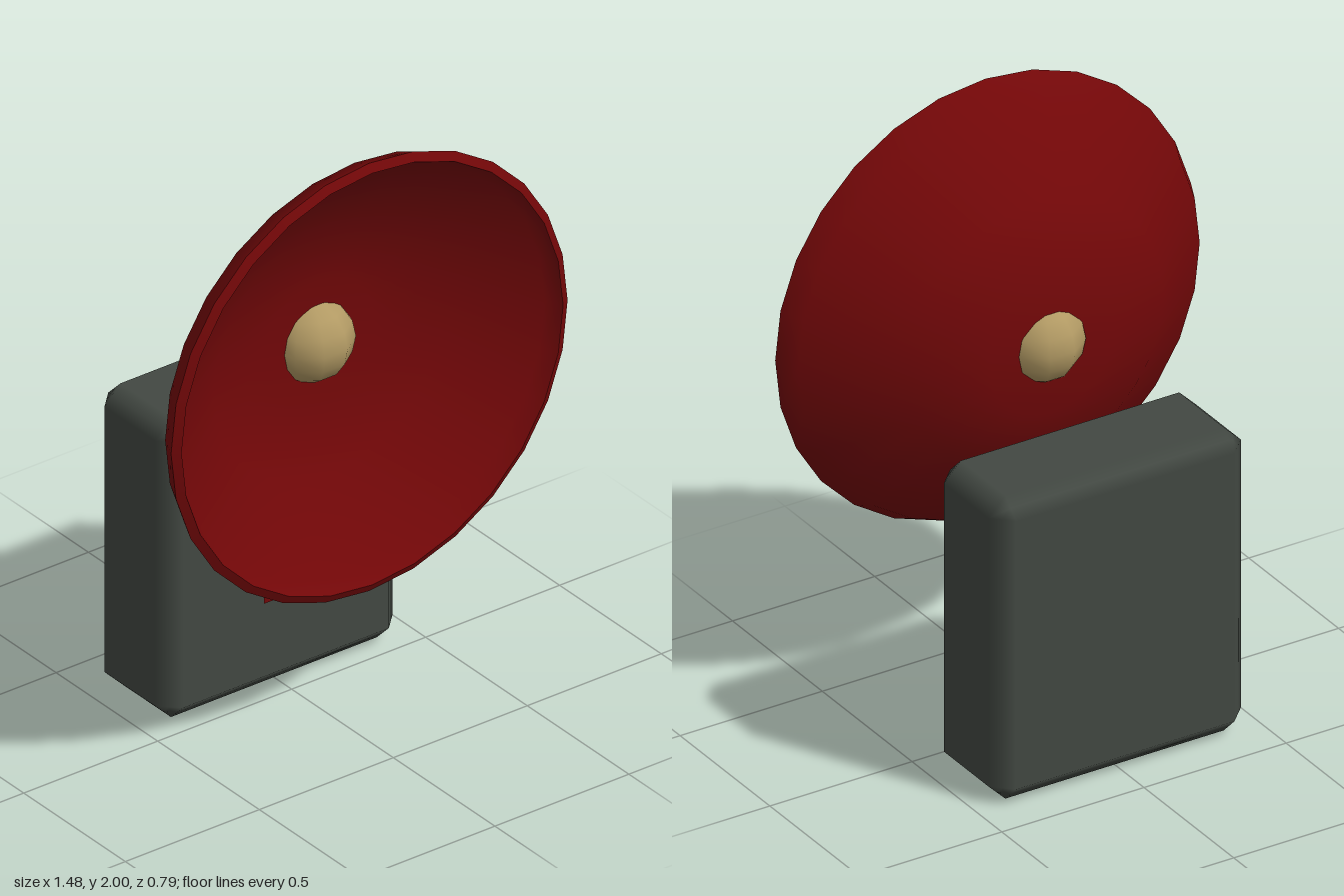
import * as THREE from 'three';

const mat = (name, color, side = THREE.FrontSide) => {
  const m = new THREE.MeshStandardMaterial({ color, side });
  m.name = name;
  return m;
};

// Box with flat chamfers, shaded smoothly across the bevels
function chamferBox(w, h, d, r) {
  const geo = new THREE.BoxGeometry(1, 1, 1, 3, 3, 3);
  const pos = geo.attributes.position, nor = geo.attributes.normal;
  const half = [w / 2, h / 2, d / 2];
  for (let i = 0; i < pos.count; i++) {
    const p = [pos.getX(i), pos.getY(i), pos.getZ(i)];
    const outer = p.map(c => Math.abs(c) > 0.4 ? Math.sign(c) : 0);
    const n = outer.filter(c => c !== 0).length;
    const q = p.map((c, k) => Math.sign(c) * (half[k] - r) + outer[k] * r / n);
    pos.setXYZ(i, ...q);
    nor.setXYZ(i, ...outer.map(c => c / Math.sqrt(n)));
  }
  return geo;
}

export function createModel() {
  const group = new THREE.Group();
  const red = mat('bell red', 0x720708, THREE.DoubleSide);
  const grey = mat('housing grey', 0x424842);
  const brass = mat('brass', 0xb29a64);

  const add = (name, geo, material, x, y, z, parent = group) => {
    const mesh = new THREE.Mesh(geo, material);
    mesh.name = name;
    mesh.position.set(x, y, z);
    parent.add(mesh);
    return mesh;
  };

  // Housing
  add('housing', chamferBox(0.888, 1.037, 0.368, 0.06), grey, 0, 0.5185, -0.212);

  // Striker block with thin cross-shaped wings around its middle
  add('strikerBlock', new THREE.BoxGeometry(0.22, 0.22, 0.13), red, 0, 0.52, 0.02);
  add('strikerWingsWide', new THREE.PlaneGeometry(0.37, 0.22), red, 0, 0.52, 0.01);
  add('strikerWingsTall', new THREE.PlaneGeometry(0.22, 0.36), red, 0, 0.52, 0.01);

  // Bell dish: separate surfaces keep the rim edges sharp
  const bell = new THREE.Group();
  bell.name = 'bell';
  bell.position.y = 1.261;
  group.add(bell);
  const profiles = {
    bellBack: [[0, 0.012], [0.222, 0.012], [0.447, 0.1], [0.706, 0.308], [0.74, 0.382]],
    bellRim: [[0.74, 0.382], [0.712, 0.397]],
    bellInside: [[0.712, 0.397], [0.682, 0.345], [0.43, 0.18], [0.21, 0.13], [0, 0.13]],
  };
  for (const [name, pts] of Object.entries(profiles)) {
    const geo = new THREE.LatheGeometry(pts.map(p => new THREE.Vector2(...p)), 28);
    geo.rotateX(Math.PI / 2);
    add(name, geo, red, 0, 0, 0, bell);
  }

  // Round centre knob passing through the dish
  add('centreKnob', new THREE.SphereGeometry(0.14, 10, 8), brass, 0, 0, 0.085, bell);

  return group;
}
